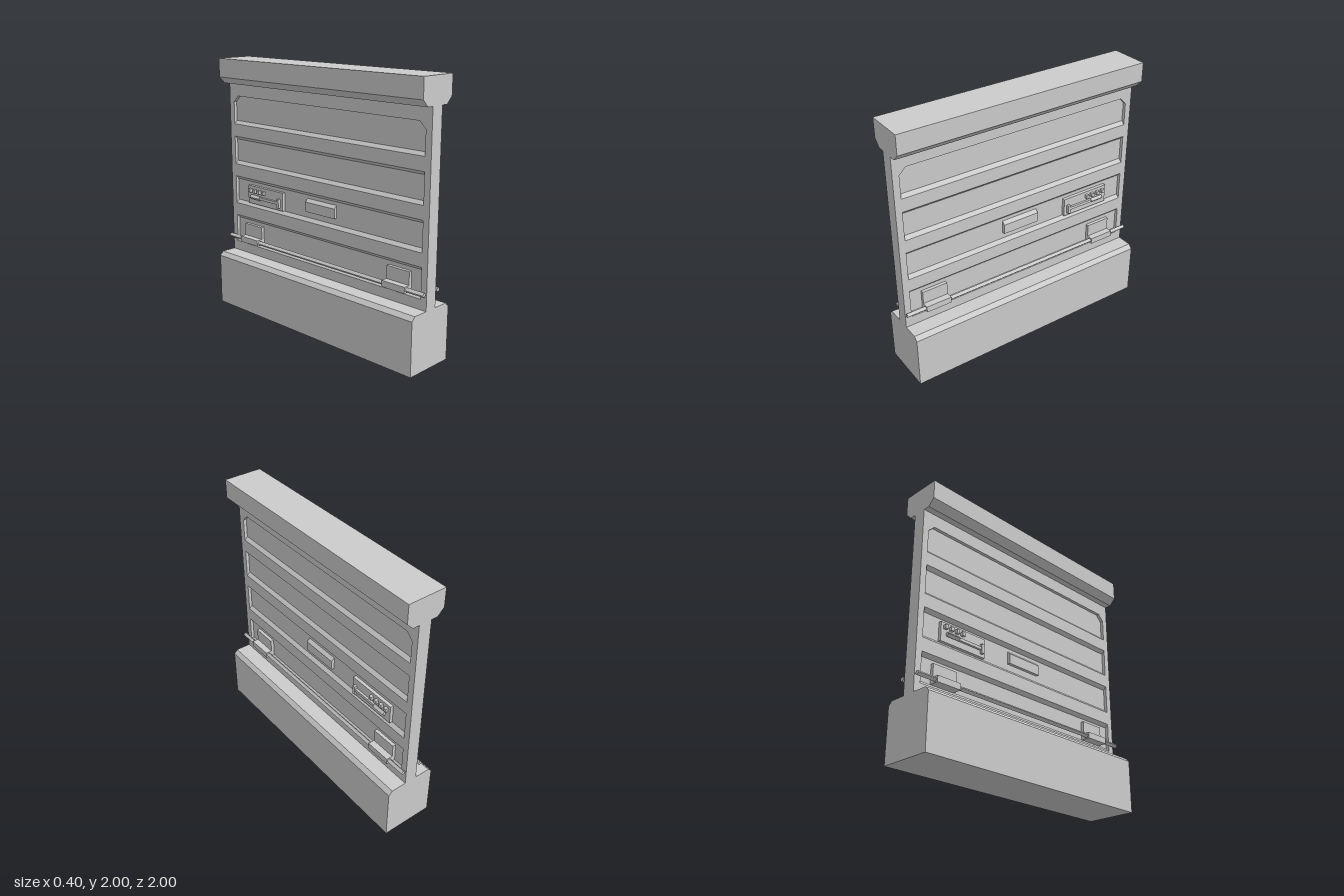
import * as THREE from 'three';

const material = new THREE.MeshStandardMaterial({ color: 0xcccccc, flatShading: true });

function makeShape(points) {
  return new THREE.Shape(points.map(([x, y]) => new THREE.Vector2(x, y)));
}

// Extrude an (x, y) profile along z from z0 to z1
function prism(name, profile, z0, z1) {
  const geometry = new THREE.ExtrudeGeometry(makeShape(profile), { depth: z1 - z0, bevelEnabled: false });
  geometry.translate(0, 0, z0);
  const mesh = new THREE.Mesh(geometry, material);
  mesh.name = name;
  return mesh;
}

const rect = (x0, y0, x1, y1) => [[x0, y0], [x1, y0], [x1, y1], [x0, y1]];
const diamond = (x, y, r) => [[x + r, y], [x, y + r], [x - r, y], [x, y - r]];
// Close a half profile by reflecting it across x = 0
const symmetric = (half) => [...half, ...half.map(([x, y]) => [-x, y]).reverse()];

export function createModel() {
  const model = new THREE.Group();
  model.name = 'barrierWall';
  const inner = 0.025, outer = 0.05; // half thickness at recess floor and at wall face

  // Chamfered foot and overhanging cap
  model.add(prism('base', symmetric([[0.2, 0], [0.2, 0.4], [0.17, 0.43]]), -1, 1));
  model.add(prism('cap', symmetric([[0.1, 1.805], [0.15, 1.855], [0.15, 2]]), -1, 1));

  // Wall frame: both end posts and the top rail with cut corners, extruded through the thickness
  const frameShape = makeShape([
    [-1, 0.43], [-0.95, 0.43], [-0.95, 1.655], [-0.9, 1.705], [0.9, 1.705], [0.95, 1.655],
    [0.95, 0.43], [1, 0.43], [1, 1.805], [-1, 1.805],
  ]);
  const frameGeometry = new THREE.ExtrudeGeometry(frameShape, { depth: 2 * outer, bevelEnabled: false });
  frameGeometry.translate(0, 0, -outer).rotateY(Math.PI / 2);
  const frame = new THREE.Mesh(frameGeometry, material);
  frame.name = 'wallFrame';
  model.add(frame);

  // Recessed panel floors
  model.add(prism('wallCore', rect(-inner, 0.43, inner, 1.705), -0.95, 0.95));

  // Bevelled rails between the recesses
  for (const [low, high] of [[0.73, 0.83], [1.055, 1.155], [1.38, 1.48]]) {
    model.add(prism('rail', symmetric([
      [inner, low - 0.025], [outer, low], [outer, high], [inner, high + 0.025],
    ]), -0.95, 0.95));
  }
  model.add(prism('bottomRail', symmetric([[outer, 0.43], [outer, 0.505], [inner, 0.53]]), -0.95, 0.95));

  // Fittings, mirrored on both faces of the wall
  for (const side of [1, -1]) {
    const fittings = new THREE.Group();
    fittings.name = side > 0 ? 'leftFittings' : 'rightFittings';
    const add = (name, profile, z0, z1) =>
      fittings.add(prism(name, profile.map(([x, y]) => [side * x, y]), z0, z1));

    // Long rod held by two L-shaped brackets
    add('rod', diamond(0.077, 0.553, 0.018), -1, 1);
    for (const z of [-0.75, 0.75]) {
      add('rodBracket', [
        [0.02, 0.53], [0.1, 0.53], [0.1, 0.577], [outer, 0.577], [outer, 0.675], [0.02, 0.675],
      ], z - 0.1, z + 0.1);
    }

    // Central block with a sloped top
    add('centreBlock', [[0.02, 0.905], [outer, 0.905], [outer, 0.98], [inner, 1.003], [0.02, 1.003]], -0.15, 0.15);

    // Control plate with four buttons and a T-shaped lever
    add('controlPlate', rect(0.02, 0.858, outer, 1.003), -0.8, -0.4);
    for (let i = 0; i < 4; i++) {
      const z = -0.613 - i * 0.051;
      add('button', rect(0.045, 0.952, 0.073, 0.98), z - 0.0125, z + 0.0125);
    }
    add('leverCrossbar', rect(0.045, 0.88, 0.073, 0.95), -0.445, -0.424);
    add('leverStem', rect(0.045, 0.906, 0.067, 0.928), -0.65, -0.445);
    add('leverGrip', diamond(0.06, 0.917, 0.018), -0.755, -0.65);
    model.add(fittings);
  }
  return model;
}
